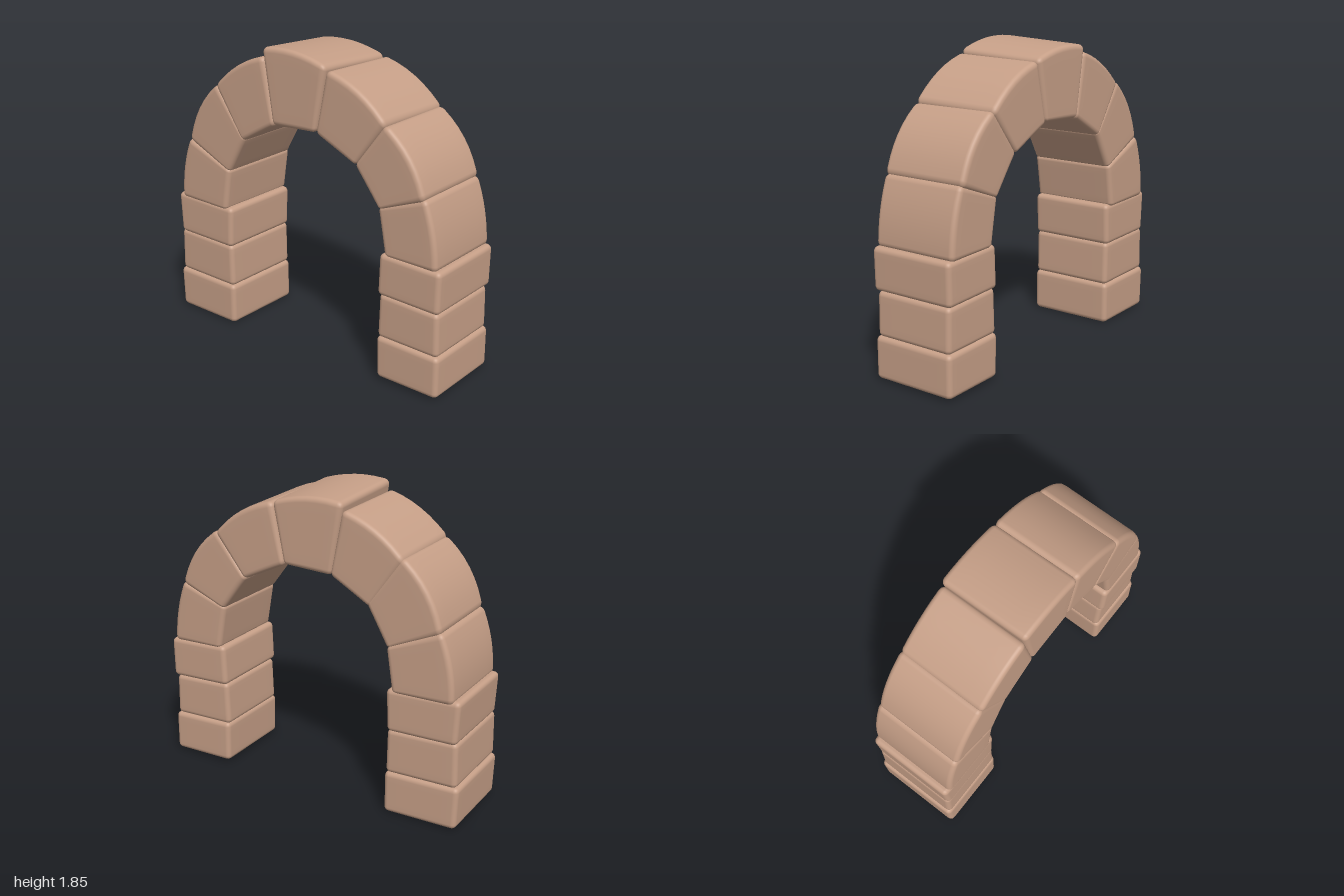
import * as THREE from 'three';
import { mergeVertices } from 'three/addons/utils/BufferGeometryUtils.js';

// Stones in order from the front foot, over the top, to the back foot.
// Start and end edges as z, y pairs: [outer, inner], then x range, outer bulge, sideways slant.
const STONES = [
  { name: 'frontFootStone', start: [1.0, 0.012, 0.585, 0.018], end: [1.0, 0.265, 0.58, 0.28], x: [-0.275, 0.265] },
  { name: 'frontLegStoneLower', start: [0.99, 0.26, 0.58, 0.27], end: [0.985, 0.525, 0.59, 0.545], x: [-0.265, 0.255] },
  { name: 'frontLegStoneUpper', start: [0.995, 0.525, 0.585, 0.54], end: [1.0, 0.78, 0.595, 0.795], x: [-0.28, 0.27] },
  { name: 'frontSpringStone', start: [0.97, 0.77, 0.625, 0.78], end: [0.885, 1.175, 0.575, 1.06], x: [-0.275, 0.27], bulge: 0.02 },
  { name: 'frontHaunchStone', start: [0.885, 1.16, 0.585, 1.045], end: [0.615, 1.535, 0.415, 1.27], x: [-0.28, 0.275], bulge: 0.045 },
  { name: 'frontShoulderStone', start: [0.625, 1.525, 0.42, 1.265], end: [0.215, 1.765, 0.14, 1.395], x: [-0.28, 0.28], bulge: 0.04, slant: 0.025 },
  { name: 'keystone', start: [0.215, 1.775, 0.14, 1.4], end: [-0.25, 1.82, -0.175, 1.385], x: [-0.285, 0.28], bulge: 0.032, slant: 0.05 },
  { name: 'backShoulderStone', start: [-0.24, 1.775, -0.165, 1.385], end: [-0.63, 1.545, -0.42, 1.24], x: [-0.285, 0.275], bulge: 0.035, slant: 0.02 },
  { name: 'backHaunchStone', start: [-0.615, 1.56, -0.4, 1.26], end: [-0.865, 1.165, -0.535, 1.02], x: [-0.285, 0.275], bulge: 0.045 },
  { name: 'backSpringStone', start: [-0.865, 1.18, -0.53, 1.035], end: [-0.95, 0.77, -0.57, 0.765], x: [-0.285, 0.28], bulge: 0.025 },
  { name: 'backLegStoneUpper', start: [-0.99, 0.795, -0.53, 0.78], end: [-0.975, 0.53, -0.54, 0.52], x: [-0.28, 0.27] },
  { name: 'backLegStoneLower', start: [-0.98, 0.545, -0.54, 0.53], end: [-0.985, 0.265, -0.535, 0.255], x: [-0.275, 0.265] },
  { name: 'backFootStone', start: [-1.0, 0.27, -0.53, 0.26], end: [-0.99, 0.008, -0.53, 0.0], x: [-0.28, 0.27] }
];
const ROUNDING = 0.03;

// Box with dense rows near its edges, rounded to a fixed radius
function roundedBlock(size) {
  const geometry = new THREE.BoxGeometry(2, 2, 2, 12, 12, 12);
  geometry.deleteAttribute('uv');
  geometry.deleteAttribute('normal');
  const block = mergeVertices(geometry, 1e-4);
  const pos = block.attributes.position;
  const half = size.clone().multiplyScalar(0.5);
  const flat = half.clone().subScalar(ROUNDING);
  const p = new THREE.Vector3(), core = new THREE.Vector3();
  for (let i = 0; i < pos.count; i++) {
    p.fromBufferAttribute(pos, i);
    for (const k of ['x', 'y', 'z']) {
      const a = Math.abs(p[k]), s = Math.sign(p[k]);
      p[k] = s * (a <= 0.5 ? a * 2 * flat[k] : flat[k] + (a - 0.5) * 2 * ROUNDING);
    }
    core.copy(p).clamp(flat.clone().negate(), flat);
    p.sub(core).setLength(ROUNDING).add(core);
    pos.setXYZ(i, p.x, p.y, p.z);
  }
  return block;
}

// Bend a rounded block into the wedge between its two edges
function stoneGeometry({ start, end, x, bulge = 0, slant = 0 }) {
  const point = (e, k) => new THREE.Vector2(e[k], e[k + 1]);
  const outerA = point(start, 0), innerA = point(start, 2);
  const outerB = point(end, 0), innerB = point(end, 2);
  const outerMid = outerA.clone().lerp(outerB, 0.5);
  const innerMid = innerA.clone().lerp(innerB, 0.5);
  const size = new THREE.Vector3(
    x[1] - x[0],
    (outerA.distanceTo(outerB) + innerA.distanceTo(innerB)) / 2,
    outerMid.distanceTo(innerMid)
  );
  const outward = outerMid.clone().sub(innerMid).normalize();
  const geometry = roundedBlock(size);
  const pos = geometry.attributes.position;
  for (let i = 0; i < pos.count; i++) {
    const u = pos.getY(i) / size.y + 0.5;
    const v = pos.getZ(i) / size.z + 0.5;
    const px = pos.getX(i) + (x[0] + x[1]) / 2;
    const q = innerA.clone().lerp(innerB, u).lerp(outerA.clone().lerp(outerB, u), v);
    q.addScaledVector(outward, bulge * 4 * u * (1 - u) * v);
    pos.setXYZ(i, px, q.y - slant * px * v, q.x);
  }
  geometry.computeVertexNormals();
  return geometry;
}

export function createModel() {
  const model = new THREE.Group();
  model.name = 'stoneArch';
  const stone = new THREE.MeshStandardMaterial({ color: 0xc69f87 });
  stone.name = 'sandstone';
  for (const spec of STONES) {
    const mesh = new THREE.Mesh(stoneGeometry(spec), stone);
    mesh.name = spec.name;
    model.add(mesh);
  }
  return model;
}
